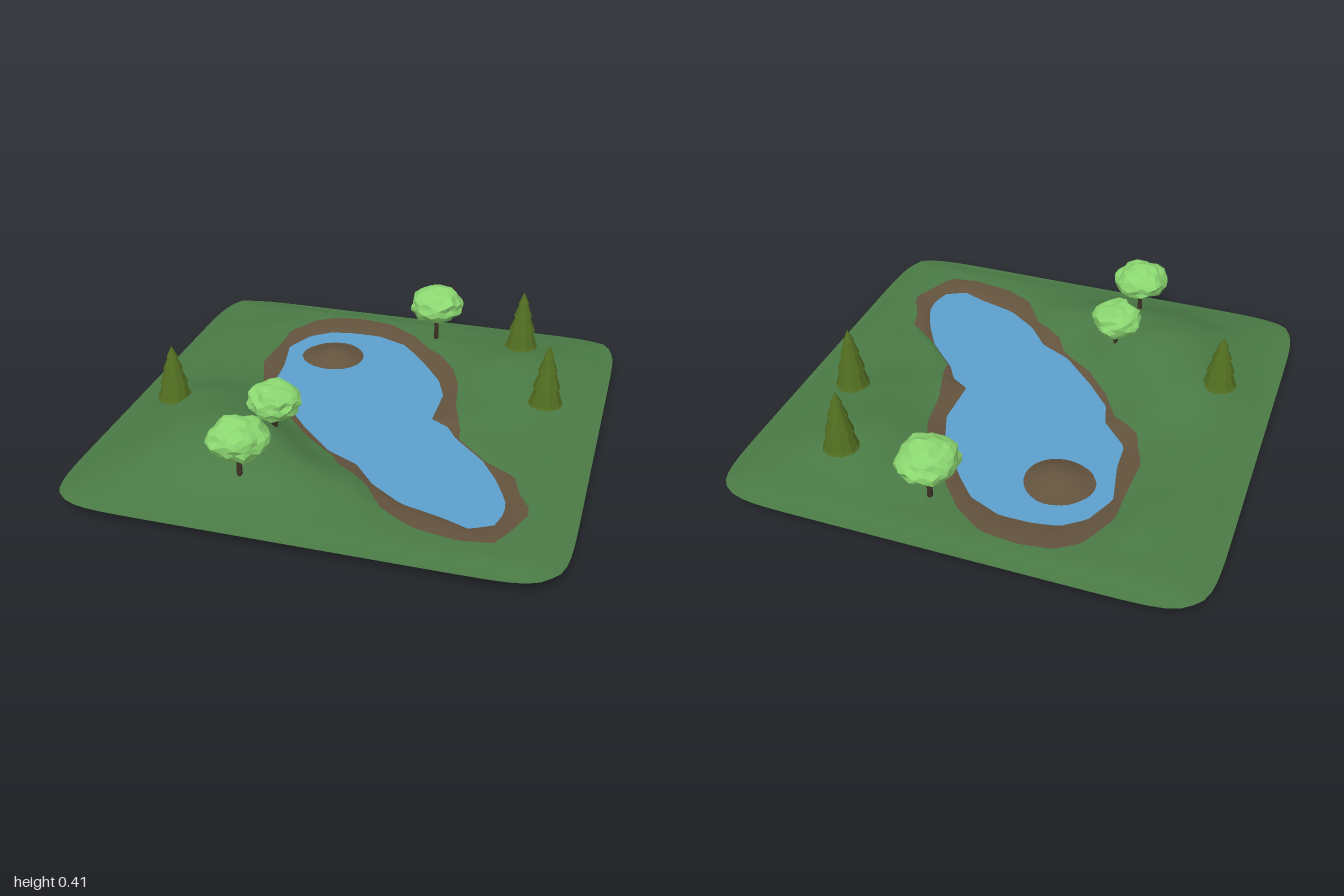
import * as THREE from 'three';
import { mergeGeometries } from 'three/addons/utils/BufferGeometryUtils.js';

const mat = (name, color, side = THREE.FrontSide) => {
  const m = new THREE.MeshStandardMaterial({ color, side });
  m.name = name;
  return m;
};
const grass = mat('grass', 0x4a7a45, THREE.DoubleSide);
const mud = mat('mud', 0x63533e, THREE.DoubleSide);
const waterBlue = mat('water', 0x5b9fcc, THREE.DoubleSide);
const leaf = mat('leaf', 0x8ad670);
const needle = mat('needle', 0x516d20);
const bark = mat('bark', 0x3d3024);

const WATER_Y = 0.06;
const CX = 0.03, CZ = -0.01;

// Outlines as x, z pairs
const shoreLine = [
  -0.26, -0.74, -0.13, -0.74, 0.01, -0.68, 0.09, -0.59, 0.16, -0.5, 0.25, -0.37, 0.3, -0.24,
  0.3, -0.02, 0.38, 0.03, 0.43, 0.11, 0.57, 0.25, 0.65, 0.38, 0.71, 0.51, 0.72, 0.59,
  0.7, 0.68, 0.61, 0.73, 0.51, 0.69, 0.33, 0.64, 0.19, 0.54, 0.09, 0.42, -0.05, 0.35,
  -0.21, 0.19, -0.32, 0.06, -0.35, -0.05, -0.47, -0.18, -0.48, -0.32, -0.52, -0.51,
  -0.46, -0.65, -0.37, -0.72];
const bankLine = [
  -0.26, -0.88, -0.1, -0.86, 0.03, -0.77, 0.14, -0.64, 0.22, -0.57, 0.3, -0.45, 0.35, -0.32,
  0.38, -0.13, 0.44, 0.06, 0.45, 0.17, 0.59, 0.27, 0.72, 0.35, 0.75, 0.46, 0.82, 0.58,
  0.76, 0.73, 0.72, 0.81, 0.59, 0.83, 0.41, 0.8, 0.27, 0.72, 0.17, 0.57, 0.03, 0.47,
  -0.02, 0.39, -0.18, 0.27, -0.3, 0.13, -0.38, -0.01, -0.5, -0.1, -0.57, -0.29, -0.56, -0.5,
  -0.56, -0.64, -0.48, -0.8, -0.39, -0.86];
const edgeLine = [];
for (let i = 0; i < 400; i++) {
  const a = (i / 400) * Math.PI * 2, c = Math.cos(a), s = Math.sin(a);
  edgeLine.push(Math.sign(c) * Math.abs(c) ** (1 / 6), Math.sign(s) * Math.abs(s) ** (1 / 6));
}

// Distance from the lake centre to an outline along one direction
function reach(line, dx, dz) {
  let best = 0;
  for (let i = 0; i < line.length; i += 2) {
    const j = (i + 2) % line.length;
    const ax = line[i] - CX, az = line[i + 1] - CZ;
    const ex = line[j] - line[i], ez = line[j + 1] - line[i + 1];
    const det = dx * ez - dz * ex;
    if (Math.abs(det) < 1e-9) continue;
    const t = (ax * ez - az * ex) / det, u = (ax * dz - az * dx) / det;
    if (u >= -1e-6 && u <= 1 + 1e-6 && t > best) best = t;
  }
  return best;
}

const smooth = (t) => THREE.MathUtils.smoothstep(t, 0, 1);
const bump = (x, z, cx, cz, h, w) => h * Math.exp(-((x - cx) ** 2 + (z - cz) ** 2) / (w * w));

// Ground outside the shore: hills that fade to the lake and to the outer edge
function landHeight(x, z, fromShore) {
  const edge = Math.max(0, 1 - Math.max(Math.abs(x), Math.abs(z)));
  const hills = bump(x, z, -0.42, 0.48, 0.135, 0.4) + bump(x, z, -0.78, 0.2, 0.045, 0.25)
    + bump(x, z, 0.55, -0.5, 0.065, 0.35) + bump(x, z, -0.02, 0.75, 0.03, 0.25)
    + bump(x, z, -0.8, -0.5, 0.03, 0.35)
    + 0.006 * Math.sin(x * 13 + z * 5) * Math.sin(z * 11 - x * 4);
  const land = 0.055 + 0.02 * smooth(edge / 0.12) + smooth(edge / 0.35) * hills * smooth(fromShore / 0.25);
  return THREE.MathUtils.lerp(WATER_Y, land, 1 - Math.exp(-fromShore / 0.04));
}

// Lake floor with the island mound
function floorHeight(x, z, u) {
  return WATER_Y - 0.056 * (1 - u * u) * (0.92 + 0.08 * Math.sin(x * 9 + z * 7))
    + bump(x, z, -0.26, -0.45, 0.077, 0.13) * smooth((1 - u) / 0.15);
}

function buildTerrain() {
  const N = 180, FLOOR = 22, BANK = 4, LAND = 16, rings = FLOOR + BANK + LAND;
  const pos = [], index = [];
  for (let k = 0; k <= rings; k++) {
    for (let i = 0; i < N; i++) {
      const a = (i / N) * Math.PI * 2, dx = Math.cos(a), dz = Math.sin(a);
      const shore = reach(shoreLine, dx, dz);
      const bank = Math.max(shore + 0.012, reach(bankLine, dx, dz));
      const edge = reach(edgeLine, dx, dz);
      let r;
      if (k <= FLOOR) r = shore * Math.max(k / FLOOR, 0.001);
      else if (k <= FLOOR + BANK) r = shore + (bank - shore) * (k - FLOOR) / BANK;
      else r = bank + (edge - bank) * (k - FLOOR - BANK) / LAND;
      const x = CX + dx * r, z = CZ + dz * r;
      pos.push(x, k <= FLOOR ? floorHeight(x, z, r / shore) : landHeight(x, z, r - shore), z);
    }
  }
  for (let k = 0; k < rings; k++) {
    for (let i = 0; i < N; i++) {
      const j = (i + 1) % N, a = k * N + i, b = k * N + j;
      index.push(a, b, a + N, b, b + N, a + N);
    }
  }
  const g = new THREE.BufferGeometry();
  g.setAttribute('position', new THREE.Float32BufferAttribute(pos, 3));
  g.setIndex(index);
  const split = (FLOOR + BANK) * N * 6;
  g.addGroup(0, split, 0);
  g.addGroup(split, index.length - split, 1);
  g.computeVertexNormals();
  return new THREE.Mesh(g, [mud, grass]);
}

// Faceted copy of a geometry
function facet(g) {
  const f = g.index ? g.toNonIndexed() : g;
  f.computeVertexNormals();
  return f;
}

function add(group, name, geometry, material) {
  const m = new THREE.Mesh(geometry, material);
  m.name = name;
  group.add(m);
  return m;
}

// Tapered stick between two points
function stick(a, b, r0, r1) {
  const d = b.clone().sub(a);
  const g = new THREE.CylinderGeometry(r1, r0, d.length(), 6);
  g.applyQuaternion(new THREE.Quaternion().setFromUnitVectors(new THREE.Vector3(0, 1, 0), d.clone().normalize()));
  g.translate((a.x + b.x) / 2, (a.y + b.y) / 2, (a.z + b.z) / 2);
  return g;
}

function leafyTree(x, base, z, top, r, seed) {
  const tree = new THREE.Group();
  tree.name = 'leafyTree';
  // lumpy crown
  const g = new THREE.IcosahedronGeometry(1, 3), p = g.attributes.position, v = new THREE.Vector3();
  const ry = 0.083 * r / 0.12;
  for (let i = 0; i < p.count; i++) {
    v.fromBufferAttribute(p, i);
    const q = Math.sin(Math.round(v.x * 99) * 12.9 + Math.round(v.y * 99) * 78.2 + Math.round(v.z * 99) * 37.7 + seed) * 437.5;
    const s = 0.88 + 0.17 * (q - Math.floor(q)) + 0.04 * Math.sin(v.x * 5 + seed) * Math.cos(v.z * 5);
    p.setXYZ(i, v.x * s * r, v.y * s * ry, v.z * s * r);
  }
  add(tree, 'crown', facet(g), leaf).position.y = top - base - ry;
  // forked trunk
  const fork = new THREE.Vector3(0, (top - base) * 0.26, 0), parts = [stick(new THREE.Vector3(0, -0.03, 0), fork, 0.013, 0.01)];
  for (let i = 0; i < 4; i++) {
    const a = seed + i * Math.PI / 2;
    parts.push(stick(fork, new THREE.Vector3(Math.cos(a) * 0.05, (top - base) * 0.52, Math.sin(a) * 0.05), 0.008, 0.004));
  }
  add(tree, 'trunk', facet(mergeGeometries(parts)), bark);
  tree.position.set(x, base, z);
  return tree;
}

function pine(x, base, z, height, turn) {
  const tree = new THREE.Group();
  tree.name = 'pineTree';
  // tiered foliage
  const profile = [[0, 0.1], [0.076, 0.06], [0.07, 0.1], [0.046, 0.36], [0.06, 0.33], [0.03, 0.62], [0.042, 0.59], [0.016, 0.83], [0.024, 0.81], [0, 1]]
    .map(([r, y]) => new THREE.Vector2(r, y * height));
  add(tree, 'foliage', facet(new THREE.LatheGeometry(profile, 10)), needle);
  const trunk = new THREE.CylinderGeometry(0.012, 0.015, 0.08, 7);
  add(tree, 'trunk', facet(trunk), bark);
  tree.position.set(x, base, z);
  tree.rotation.y = turn;
  return tree;
}

export function createModel() {
  const model = new THREE.Group();
  model.name = 'lakeLandscape';
  const terrain = buildTerrain();
  terrain.name = 'terrain';
  model.add(terrain);

  // Flat water sheet, hidden under the land outside the lake
  const sheet = new THREE.PlaneGeometry(1.5, 1.5).rotateX(-Math.PI / 2);
  add(model, 'water', sheet, waterBlue).position.y = WATER_Y;

  model.add(
    leafyTree(0.15, 0.09, -0.75, 0.355, 0.128, 1),
    leafyTree(-0.28, 0.135, 0.74, 0.39, 0.12, 2.3),
    leafyTree(-0.26, 0.11, 0.4, 0.37, 0.112, 4.1),
    pine(-0.765, 0.14, 0.255, 0.255, 0),
    pine(0.575, 0.13, -0.66, 0.285, 0.5),
    pine(0.755, 0.09, -0.21, 0.295, 1.1));
  return model;
}
